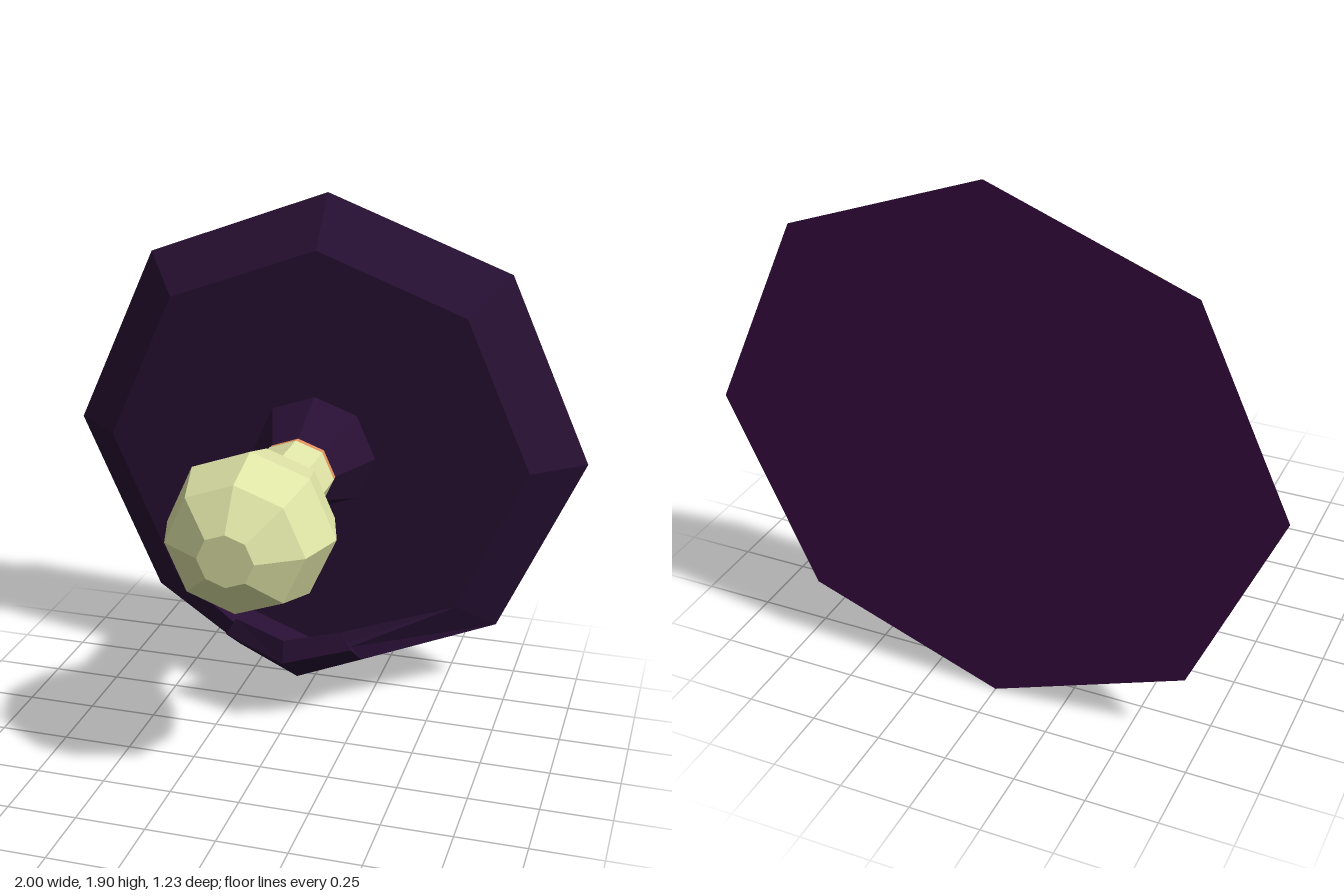
import * as THREE from 'three';

const mat = (name, color) => {
  const m = new THREE.MeshStandardMaterial({ color, flatShading: true });
  m.name = name;
  return m;
};

// Joins cross-sections (anticlockwise seen from +z, ordered back to front) and caps the last.
function loft(rings, cap = true) {
  const n = rings[0].length;
  const pos = [];
  const tri = (...pts) => pts.forEach((p) => pos.push(...p));
  for (let k = 0; k + 1 < rings.length; k++) {
    const a = rings[k], b = rings[k + 1];
    for (let i = 0; i < n; i++) {
      const j = (i + 1) % n;
      tri(a[i], a[j], b[j]);
      tri(a[i], b[j], b[i]);
    }
  }
  const end = rings[rings.length - 1];
  if (cap) for (let i = 1; i + 1 < n; i++) tri(end[0], end[i], end[i + 1]);
  const g = new THREE.BufferGeometry();
  g.setAttribute('position', new THREE.Float32BufferAttribute(pos, 3));
  g.computeVertexNormals();
  return g;
}

// Octagon with separate side, diagonal and top reach, around the axis at y = 0.95
const CY = 0.95;
const octagon = (rx, d, ry, z) =>
  [[rx, 0], [d, d], [0, ry], [-d, d], [-rx, 0], [-d, -d], [0, -ry], [d, -d]]
    .map(([x, y]) => [x, CY + y, z]);
const round = (r, z) => octagon(r, r * 0.69, r * 0.94, z);

// Mirrored hook section: outer middle, outer side, inner side, inner middle
const hookSection = (om, os, is, im) => {
  const flip = ([x, y, z]) => [-x, y, z];
  return [om, os, is, im, flip(is), flip(os)];
};

export function createModel() {
  const group = new THREE.Group();
  const purple = mat('dark purple', 0x281034);
  const backPurple = mat('back purple', 0x380b43);
  const orange = mat('orange', 0xe0925f);
  const cream = mat('pale yellow green', 0xdfe4a6);
  const add = (name, geometry, material) => {
    const mesh = new THREE.Mesh(geometry, material);
    mesh.name = name;
    group.add(mesh);
  };

  // Bevelled wall plate and its flat back
  const rim = octagon(1, 0.69, 0.95, -0.615);
  add('plate', loft([rim, octagon(0.81, 0.56, 0.77, -0.45)]), purple);
  add('plateBack', loft([[...rim].reverse()]), backPurple);

  // Tapered socket, contact ring and bulb along the axis
  add('socket', loft([round(0.235, -0.45), round(0.14, -0.23)]), purple);
  add('contactRing', loft([round(0.14, -0.23), round(0.143, -0.2)], false), orange);
  const profile = [[0.143, -0.2], [0.143, 0], [0.24, 0.155], [0.295, 0.34], [0.24, 0.52], [0.097, 0.615]];
  add('bulb', loft(profile.map(([r, z]) => round(r, z))), cream);

  // Hook growing from the two lowest bevels and curling up at the tip
  add('hook', loft([
    hookSection([0, 0, -0.615], [0.69, 0.26, -0.615], [0.56, 0.39, -0.45], [0, 0.18, -0.45]),
    hookSection([0, 0.125, -0.23], [0.24, 0.21, -0.27], [0.2, 0.27, -0.24], [0, 0.21, -0.2]),
    hookSection([0, 0.275, -0.03], [0.24, 0.33, -0.1], [0.2, 0.395, -0.105], [0, 0.36, -0.045]),
  ]), purple);

  return group;
}
